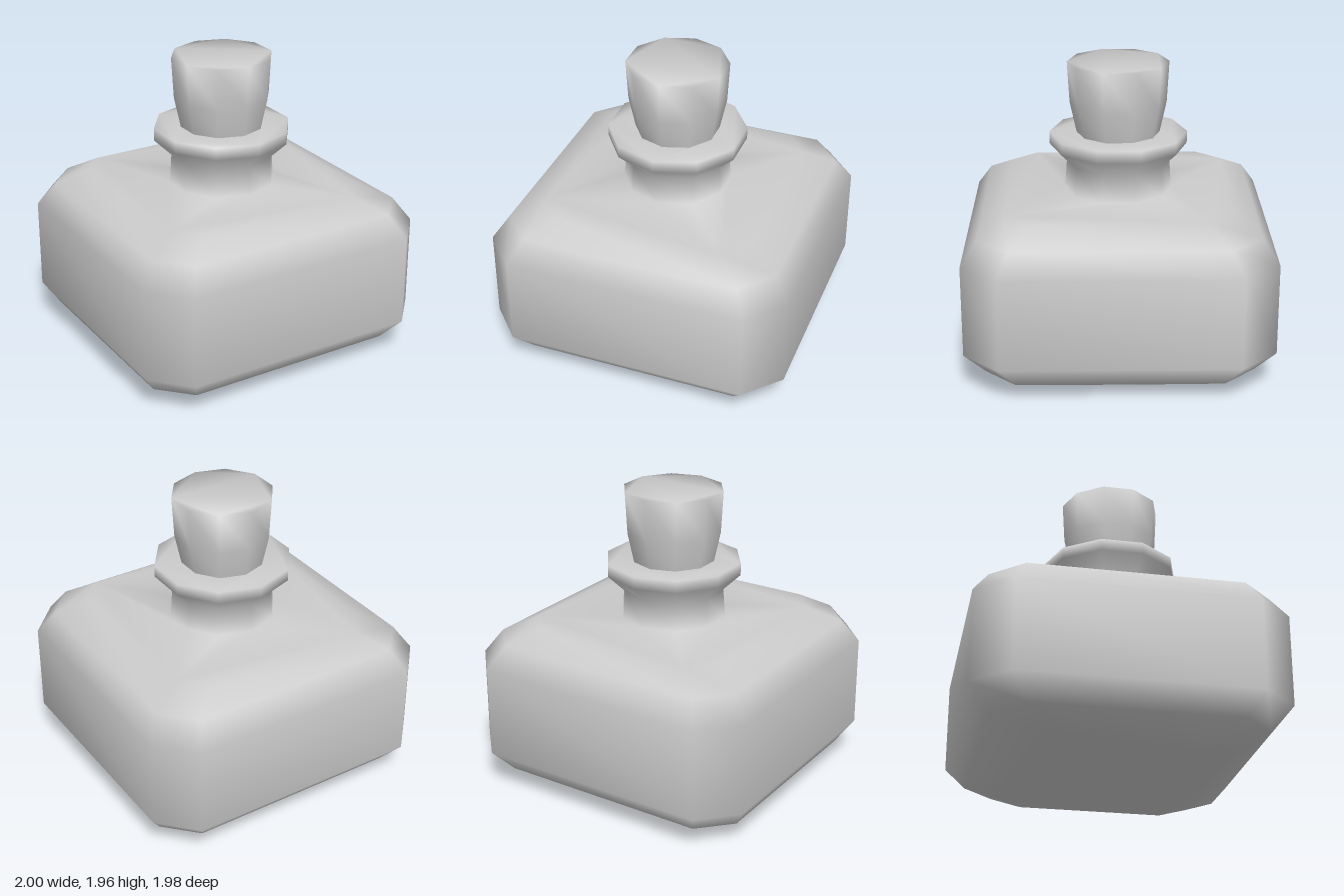
import * as THREE from 'three';
import { mergeGeometries, mergeVertices } from 'three/addons/utils/BufferGeometryUtils.js';

// Square ring with cut corners
function squareRing(y, hx, hz) {
  const cx = hx * 0.785, cz = hz * 0.765;
  return [[cx, hz], [hx, cz], [hx, -cz], [cx, -hz], [-cx, -hz], [-hx, -cz], [-hx, cz], [-cx, hz]]
    .map(([x, z]) => new THREE.Vector3(x, y, z));
}

// Ten-sided ring with a corner facing front
function roundRing(y, r) {
  return Array.from({ length: 10 }, (_, i) => {
    const a = (i / 10) * Math.PI * 2;
    return new THREE.Vector3(Math.sin(a) * r, y, Math.cos(a) * r);
  });
}

// Skin through rings with equal corner counts, listed from bottom to top
function loft(rings) {
  const n = rings[0].length, index = [];
  for (let j = 0; j < rings.length - 1; j++) {
    for (let i = 0; i < n; i++) {
      const a = j * n + i, b = j * n + (i + 1) % n;
      index.push(a, b, a + n, b, b + n, a + n);
    }
  }
  const geo = new THREE.BufferGeometry().setFromPoints(rings.flat());
  geo.setIndex(index);
  return geo;
}

// Flat face filling a ring, optionally with a hole, facing up or down
function cap(ring, { hole = null, down = false } = {}) {
  const s = down ? 1 : -1;
  const flat = (r) => r.map((p) => new THREE.Vector2(p.x, s * p.z));
  const shape = new THREE.Shape(flat(ring));
  if (hole) shape.holes.push(new THREE.Path(flat(hole)));
  const geo = new THREE.ShapeGeometry(shape);
  geo.rotateX(s * Math.PI / 2).translate(0, ring[0].y, 0);
  geo.deleteAttribute('normal');
  geo.deleteAttribute('uv');
  return geo;
}

// Weld the pieces so that shading flows smoothly over every edge
function smoothMesh(name, pieces) {
  const geo = mergeVertices(mergeGeometries(pieces), 1e-4);
  geo.computeVertexNormals();
  const mesh = new THREE.Mesh(geo, new THREE.MeshStandardMaterial({ color: 0xcccccc }));
  mesh.name = name;
  return mesh;
}

export function createModel() {
  const model = new THREE.Group();
  model.name = 'stopperedBottle';

  // Square body with bevelled shoulders and base
  const body = [
    [0, 0.70, 0.63], [0.11, 0.90, 0.86], [0.26, 1, 0.99],
    [0.86, 1, 0.99], [1.01, 0.90, 0.89], [1.11, 0.70, 0.73],
  ].map((r) => squareRing(...r));

  // Neck flaring into a wide lip
  const neck = [[1.11, 0.35], [1.30, 0.337], [1.41, 0.45], [1.49, 0.45]]
    .map((r) => roundRing(...r));

  // Tapered stopper standing in the lip
  const stopper = [[1.49, 0.272], [1.69, 0.315], [1.96, 0.33]]
    .map((r) => roundRing(...r));

  model.add(
    smoothMesh('bottle', [
      cap(body[0], { down: true }),
      loft(body),
      cap(body[5], { hole: neck[0] }),
      loft(neck),
      cap(neck[3], { hole: stopper[0] }),
    ]),
    smoothMesh('stopper', [loft(stopper), cap(stopper[2])]),
  );
  return model;
}
